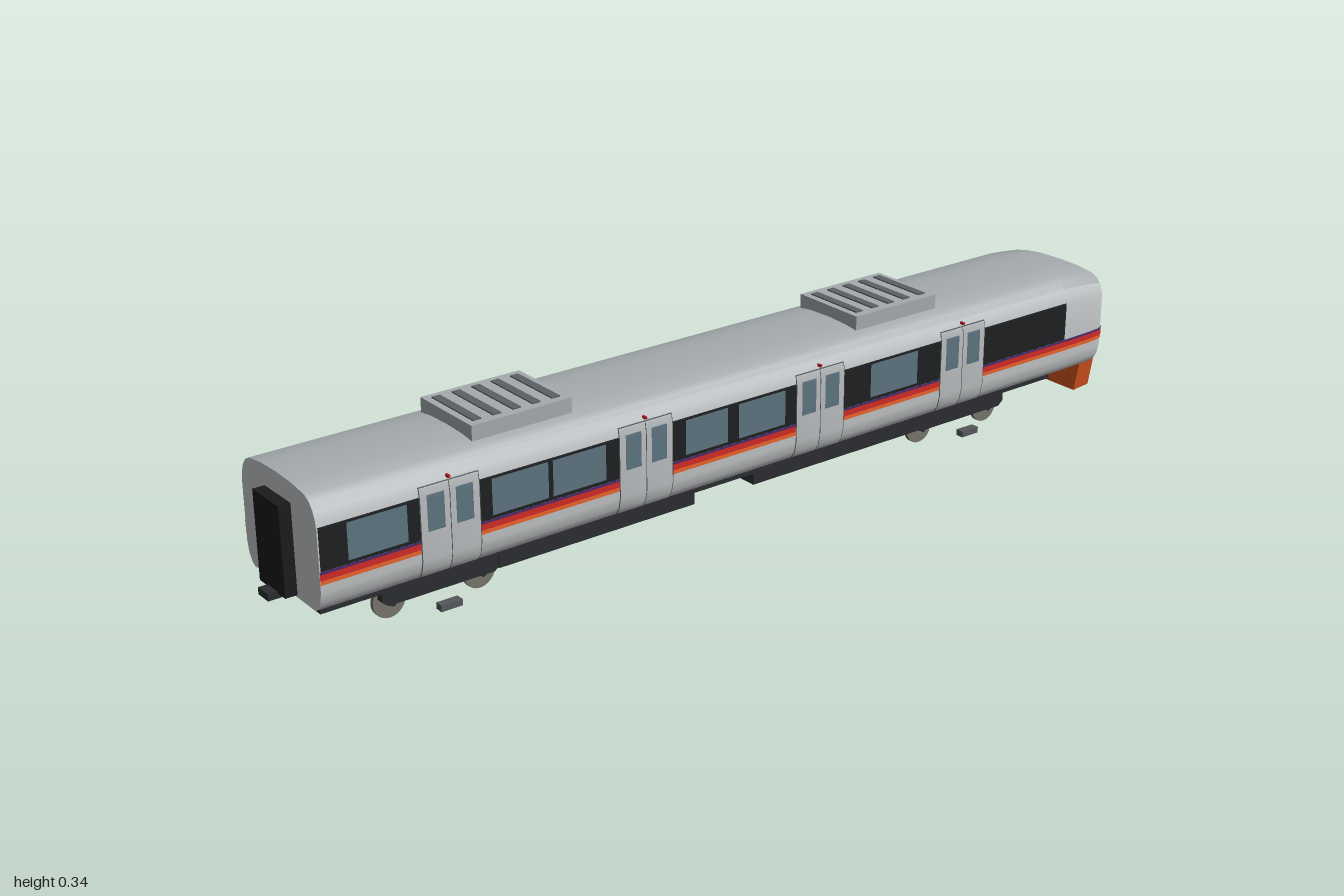
import * as THREE from 'three';
import { toCreasedNormals } from 'three/addons/utils/BufferGeometryUtils.js';

// Half cross-section of the body shell [half width, height], from floor to roof ridge
const PROFILE = [[0, 0.085], [0.112, 0.085], [0.122, 0.092], [0.13, 0.105], [0.135, 0.128], [0.135, 0.247],
  [0.132, 0.266], [0.126, 0.281], [0.116, 0.294], [0.1, 0.303], [0.055, 0.309], [0, 0.311]];
const ROOF_START = 7;
// Stations along the car [z, width scale, roof drop]; the cab is at the -z end
const STATIONS = [[0.957, 1, 0], [-0.87, 1, 0], [-0.91, 0.995, 0.003], [-0.95, 0.985, 0.008],
  [-0.978, 0.965, 0.014], [-0.99, 0.94, 0.019], [-0.996, 0.91, 0.025]];
const FRONT = -0.996;

const mat = (color, side = THREE.FrontSide) => new THREE.MeshStandardMaterial({ color, side });
const M = {
  body: mat(0xc6c9cb), roof: mat(0xa4aaad), slat: mat(0x5a6064),
  dark: mat(0x2a2d30), black: mat(0x1a1b1d), wheel: mat(0x77736b), orange: mat(0xd2521e),
  shoe: mat(0x55585b), red: mat(0xb01822), white: mat(0xe8e8e0), screen: mat(0x25323a),
};
const skin = (color) => mat(color, THREE.DoubleSide);
const S = {
  band: skin(0x1d1f21), glass: skin(0x5d7480), door: skin(0xb9bcbe), seam: skin(0x4a4d50),
  purple: skin(0x4a2a6a), red: skin(0xd02a26), orange: skin(0xe8632a),
};

function add(parent, name, geometry, material, x = 0, y = 0, z = 0) {
  const mesh = new THREE.Mesh(geometry, material);
  mesh.name = name;
  mesh.position.set(x, y, z);
  parent.add(mesh);
  return mesh;
}

const box = (parent, name, material, w, h, d, x, y, z) =>
  add(parent, name, new THREE.BoxGeometry(w, h, d), material, x, y, z);

// Indexed surface through equal-length rows of points
function grid(rows) {
  const n = rows[0].length, index = [];
  for (let i = 0; i + 1 < rows.length; i++) {
    for (let j = 0; j + 1 < n; j++) {
      const a = i * n + j, b = a + n;
      index.push(a, b, a + 1, a + 1, b, b + 1);
    }
  }
  const g = new THREE.BufferGeometry();
  g.setAttribute('position', new THREE.Float32BufferAttribute(rows.flat(2), 3));
  g.setIndex(index);
  g.computeVertexNormals();
  return g;
}

// Body point for a profile point at a station
const place = ([x, y], [z, s, drop]) => [x * s, y - drop * Math.max(0, (y - 0.2) / 0.111), z];

function halfWidth(y) {
  for (let i = 2; i < PROFILE.length; i++) {
    const [x0, y0] = PROFILE[i - 1], [x1, y1] = PROFILE[i];
    if (y <= y1) return x0 + (x1 - x0) * (y - y0) / (y1 - y0);
  }
  return 0;
}

// Thin panel lying on both curved sides of the body
function sidePanel(parent, name, material, z0, z1, y0, y1, out) {
  const ys = [y0, ...PROFILE.map((p) => p[1]).filter((y) => y > y0 && y < y1), y1];
  for (const side of [1, -1]) {
    const rows = [z0, z1].map((z) => ys.map((y) => [side * (halfWidth(y) + out), y, z]));
    add(parent, name, grid(side > 0 ? rows : rows.reverse()), material);
  }
}

// Stripe running along one side, around the cab face and back
function stripe(parent, name, material, y0, y1) {
  const out = 0.0012, w = 0.135;
  const half = STATIONS.map(([z, s]) => [w * s + out, z - (z < -0.9 ? out : 0)]);
  const path = [...half, ...half.map(([x, z]) => [-x, z]).reverse()];
  add(parent, name, toCreasedNormals(grid(path.map(([x, z]) => [[x, y0, z], [x, y1, z]])), 0.5), material);
}

function buildShell(parent) {
  const mirror = (pts) => pts.map(([x, y]) => [-x, y]).reverse();
  const loft = (pts) => toCreasedNormals(grid(STATIONS.map((s) => pts.map((p) => place(p, s)))), 0.6);
  const wall = PROFILE.slice(0, ROOF_START + 1), roof = PROFILE.slice(ROOF_START);
  add(parent, 'leftWall', loft(wall), M.body);
  add(parent, 'rightWall', loft(mirror(wall)), M.body);
  add(parent, 'roof', loft([...roof, ...mirror(roof).slice(1)]), M.roof);
  // Flat end walls
  const ring = [...PROFILE, ...mirror(PROFILE).slice(1, -1)];
  for (const st of [STATIONS[0], STATIONS.at(-1)]) {
    const pts = ring.map((p) => place(p, st));
    const shape = new THREE.Shape(pts.map(([x, y]) => new THREE.Vector2(x, y)));
    const end = add(parent, st[0] > 0 ? 'endWall' : 'cabFace', new THREE.ShapeGeometry(shape), M.body, 0, 0, st[0]);
    if (st[0] < 0) end.rotation.y = Math.PI;
  }
}

function buildSides(parent) {
  sidePanel(parent, 'windowBand', S.band, 0.955, -0.87, 0.168, 0.252, 0.0008);
  const windows = [[0.9, 0.78], [0.604, 0.482], [0.472, 0.353], [0.166, 0.064], [0.037, -0.08], [-0.305, -0.433]];
  for (const [a, b] of windows) sidePanel(parent, 'sideWindow', S.glass, a, b, 0.175, 0.247, 0.0016);
  stripe(parent, 'purpleStripe', S.purple, 0.163, 0.168);
  stripe(parent, 'redStripe', S.red, 0.151, 0.163);
  stripe(parent, 'orangeStripe', S.orange, 0.143, 0.151);
  // Twin-leaf doors with a lamp above each
  for (const z of [0.692, 0.26, -0.171, -0.561]) {
    sidePanel(parent, 'doorFrame', S.seam, z + 0.063, z - 0.063, 0.09, 0.27, 0.0016);
    for (const s of [1, -1]) {
      sidePanel(parent, 'doorLeaf', S.door, z + s * 0.031 + 0.0302, z + s * 0.031 - 0.0302, 0.09, 0.268, 0.0021);
      sidePanel(parent, 'doorWindow', S.glass, z + s * 0.03 + 0.018, z + s * 0.03 - 0.018, 0.182, 0.253, 0.0026);
      box(parent, 'doorLamp', s > 0 ? M.red : M.slat, 0.01, 0.005, 0.005, s * 0.132, 0.276, z);
    }
  }
}

function buildCab(parent) {
  box(parent, 'windscreenSurround', M.black, 0.232, 0.08, 0.003, 0, 0.211, FRONT - 0.001);
  box(parent, 'windscreen', M.screen, 0.216, 0.066, 0.003, 0, 0.211, FRONT - 0.002);
  box(parent, 'signBox', M.black, 0.1, 0.013, 0.003, 0, 0.267, FRONT - 0.001);
  for (const s of [1, -1]) {
    box(parent, 'lampSurround', M.dark, 0.046, 0.02, 0.003, s * 0.092, 0.121, FRONT - 0.001);
    box(parent, 'headlamp', M.white, 0.021, 0.014, 0.003, s * 0.081, 0.121, FRONT - 0.002);
    box(parent, 'tailLamp', M.red, 0.015, 0.014, 0.003, s * 0.103, 0.121, FRONT - 0.002);
  }
  // Skirt narrows towards the track and the front corners
  const skirt = new THREE.BoxGeometry(0.23, 0.069, 0.053);
  const p = skirt.attributes.position;
  for (let i = 0; i < p.count; i++) {
    const low = p.getY(i) < 0 ? 0.89 : 1, nose = p.getZ(i) < 0 ? 0.93 : 1;
    p.setX(i, p.getX(i) * low * nose);
  }
  skirt.computeVertexNormals();
  add(parent, 'cabSkirt', skirt, M.orange, 0, 0.0555, -0.9725);
}

function buildRoofUnit(parent, z) {
  box(parent, 'roofUnit', M.roof, 0.174, 0.032, 0.218, 0, 0.319, z);
  for (let i = -2; i <= 2; i++) box(parent, 'roofVent', M.slat, 0.14, 0.004, 0.018, 0, 0.3355, z + i * 0.043);
}

function buildBogie(parent, z) {
  // Side frames with sloped ends, joined by a cross block
  const side = new THREE.Shape([[-0.125, 0.08], [-0.125, 0.05], [-0.113, 0.04], [0.113, 0.04], [0.125, 0.05],
    [0.125, 0.08]].map(([a, b]) => new THREE.Vector2(a, b)));
  for (const x of [0.08, -0.097]) {
    const frame = new THREE.ExtrudeGeometry(side, { depth: 0.017, bevelEnabled: false });
    frame.rotateY(Math.PI / 2);
    add(parent, 'bogieSideFrame', frame, M.dark, x, 0, z);
  }
  box(parent, 'bogieCrossBlock', M.dark, 0.17, 0.044, 0.12, 0, 0.055, z);
  const round = (r, w) => new THREE.CylinderGeometry(r, r, w, 24).rotateZ(Math.PI / 2);
  for (const dz of [-0.096, 0.096]) {
    add(parent, 'axle', round(0.006, 0.17), M.dark, 0, 0.035, z + dz);
    for (const s of [1, -1]) add(parent, 'wheel', round(0.034, 0.009), M.wheel, s * 0.066, 0.035, z + dz);
  }
  for (const s of [1, -1]) box(parent, 'sideShoe', M.shoe, 0.018, 0.013, 0.045, s * 0.119, 0.0178, z);
}

export function createModel() {
  const car = new THREE.Group();
  car.name = 'railCar';
  buildShell(car);
  buildSides(car);
  buildCab(car);
  buildRoofUnit(car, 0.502);
  buildRoofUnit(car, -0.415);
  // Underframe and equipment boxes
  box(car, 'underframe', M.dark, 0.228, 0.01, 1.8, 0, 0.082, 0.05);
  box(car, 'equipmentBox', M.dark, 0.2, 0.036, 0.455, 0, 0.063, 0.345);
  box(car, 'equipmentBox', M.dark, 0.2, 0.036, 0.46, 0, 0.063, -0.26);
  buildBogie(car, 0.693);
  buildBogie(car, -0.603);
  // Gangway door and coupler at the +z end
  box(car, 'gangway', M.black, 0.094, 0.178, 0.026, 0, 0.179, 0.968);
  box(car, 'coupler', M.dark, 0.036, 0.014, 0.07, 0, 0.086, 0.965);
  return car;
}
